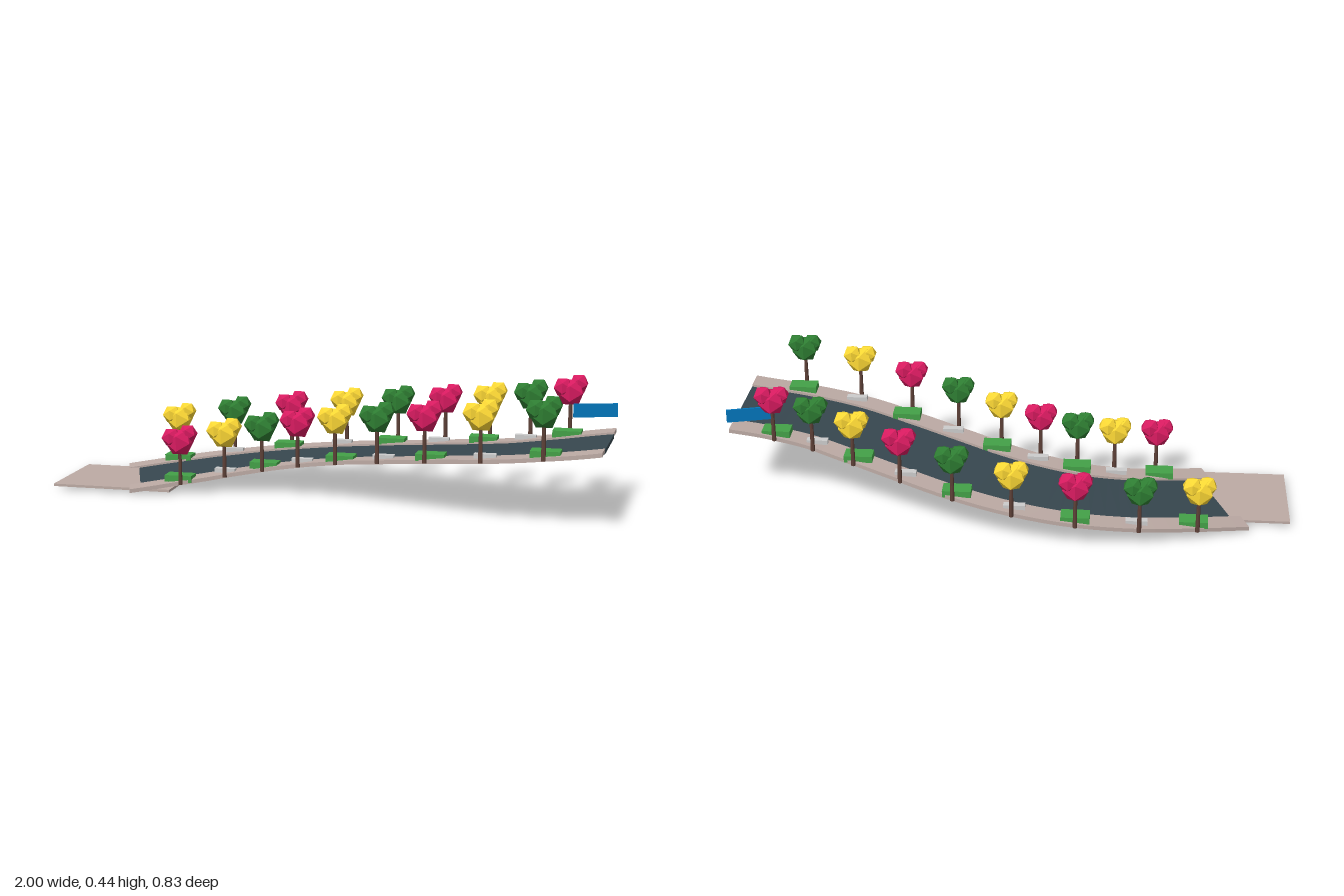
import * as THREE from 'three';

const material = (color) => new THREE.MeshStandardMaterial({ color, flatShading: true, side: THREE.DoubleSide });
const MAT = {
  asphalt: material(0x37474f), paving: material(0xbcaaa4), trunk: material(0x5d4037),
  planter: material(0x43a047), bench: material(0xdddddd), sign: material(0x0277bd),
};
const CROWNS = [0xd81b60, 0xfdd835, 0x2e7d32].map(material);

// Centre line of the street in plan, climbing evenly from start to end
const STATIONS = 10;
const RISE = 0.245;
const centreZ = [-0.01, -0.075, -0.128, -0.15, -0.136, -0.091, -0.024, 0.045, 0.107, 0.133, 0.137];
const path = new THREE.CatmullRomCurve3(
  centreZ.map((z, i) => new THREE.Vector3(-0.777 + 0.1766 * i, (RISE * i) / STATIONS, z)));

// Point at a sideways offset (positive towards +z) and a height above the slope
function onPath(t, offset, height) {
  const p = path.getPoint(t);
  const d = path.getTangent(t).setY(0).normalize();
  return new THREE.Vector3(p.x - d.z * offset, p.y + height, p.z + d.x * offset);
}

// Slab swept along the path with a rectangular section
function slab(name, from, to, bottom, top, mat) {
  const n = 40, positions = [], index = [];
  const section = [[from, bottom], [to, bottom], [to, top], [from, top]];
  for (let i = 0; i <= n; i++) {
    for (const [offset, h] of section) positions.push(...onPath(i / n, offset, h).toArray());
  }
  for (let i = 0; i < n; i++) {
    for (let j = 0; j < 4; j++) {
      const a = i * 4 + j, b = i * 4 + (j + 1) % 4;
      index.push(a, a + 4, b + 4, a, b + 4, b);
    }
  }
  const e = n * 4;
  index.push(0, 1, 2, 0, 2, 3, e, e + 2, e + 1, e, e + 3, e + 2);
  const geo = new THREE.BufferGeometry();
  geo.setAttribute('position', new THREE.Float32BufferAttribute(positions, 3));
  geo.setIndex(index);
  const flat = geo.toNonIndexed();
  flat.computeVertexNormals();
  return part(name, flat, mat);
}

function part(name, geo, mat, x = 0, y = 0, z = 0) {
  const mesh = new THREE.Mesh(geo, mat);
  mesh.name = name;
  mesh.position.set(x, y, z);
  return mesh;
}

// Tree with a crown of three faceted lobes
const trunkGeo = new THREE.CylinderGeometry(0.006, 0.008, 0.13, 8);
const lobes = [[0.052, 0, 0.15, 0], [0.036, 0.026, 0.178, -0.014], [0.036, -0.026, 0.168, 0.014]];
const lobeGeos = lobes.map(([r]) => new THREE.IcosahedronGeometry(r, 0));
function tree(mat) {
  const g = new THREE.Group();
  g.name = 'tree';
  g.add(part('trunk', trunkGeo, MAT.trunk, 0, 0.06, 0));
  lobes.forEach(([, x, y, z], i) => g.add(part('crownLobe', lobeGeos[i], mat, x, y, z)));
  return g;
}

export function createModel() {
  const model = new THREE.Group();
  model.name = 'slopingStreet';

  // Road, pavements and the flat landing at the low end
  model.add(slab('road', -0.141, 0.141, 0, 0.015, MAT.asphalt));
  model.add(slab('rightPavement', -0.226, -0.146, 0.007, 0.021, MAT.paving));
  model.add(slab('leftPavement', 0.146, 0.226, 0.007, 0.021, MAT.paving));
  model.add(part('landing', new THREE.BoxGeometry(0.44, 0.009, 0.348), MAT.paving, -0.78, 0.0155, 0));

  // Trees at every station, with planters and benches alternating
  const planterGeo = new THREE.BoxGeometry(0.1, 0.024, 0.06);
  const benchGeo = new THREE.BoxGeometry(0.075, 0.016, 0.026);
  for (const side of [-1, 1]) {
    for (let i = 1; i < STATIONS; i++) {
      const t = i / STATIONS;
      const colour = side > 0 ? (i - 1) % 3 : i % 3;
      const t1 = tree(CROWNS[colour]);
      t1.position.copy(onPath(t, side * 0.228, 0.015));
      model.add(t1);

      const p = onPath(t, side * 0.185, 0.027);
      model.add(i % 2
        ? part('planter', planterGeo, MAT.planter, p.x, p.y, p.z)
        : part('bench', benchGeo, MAT.bench, p.x, p.y, p.z));
    }
  }

  // Sign panel at the high end
  const sign = part('signPanel', new THREE.BoxGeometry(0.155, 0.048, 0.007), MAT.sign, 0.92, 0.326, -0.085);
  sign.rotation.y = 0.26;
  model.add(sign);

  return model;
}
